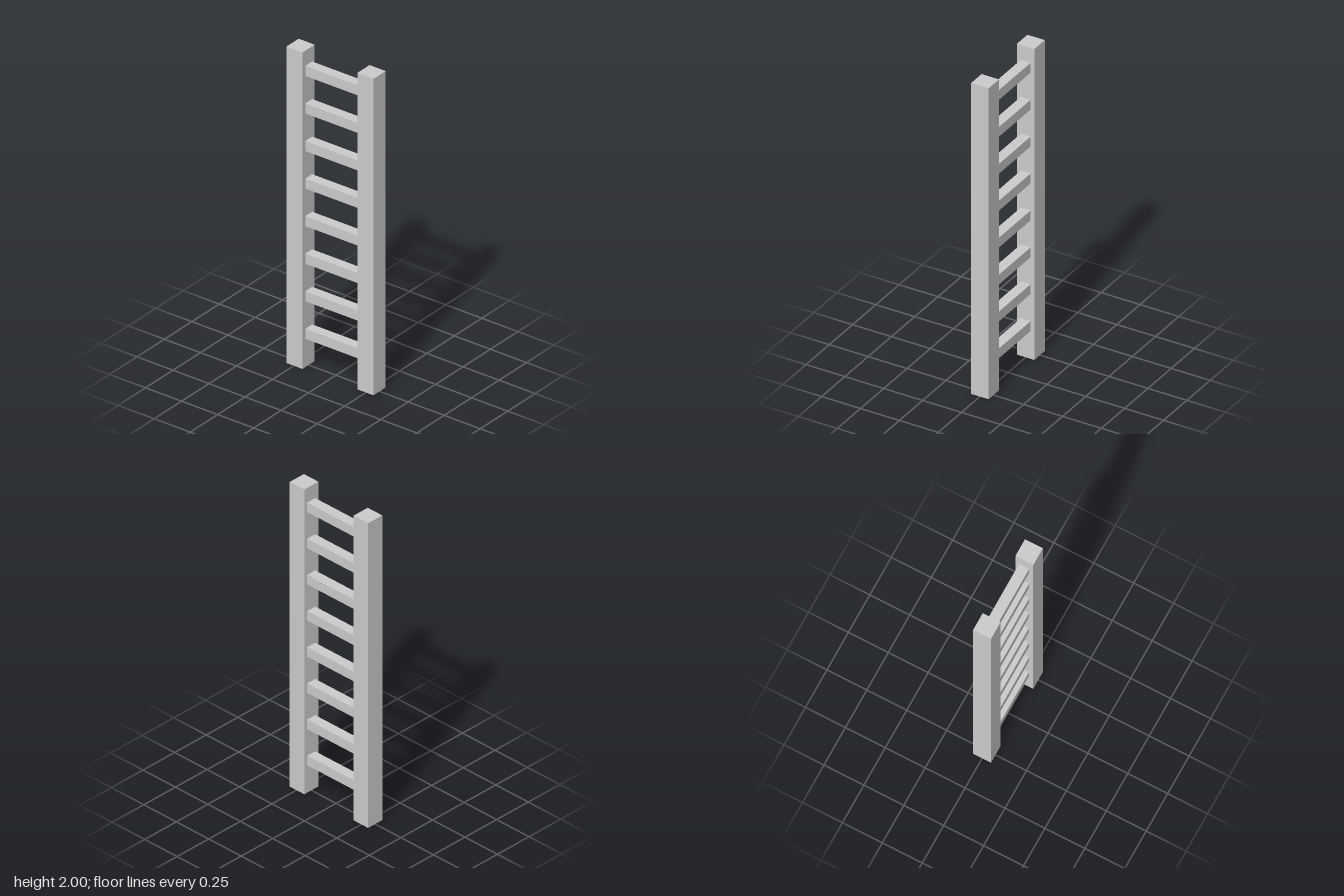
import * as THREE from 'three';

const RAIL = 0.112; // square section of the uprights
const RAIL_X = 0.246; // centre of each upright
const RUNG = 0.063; // square section of the rungs
const RUNG_COUNT = 8;
const FIRST_RUNG_Y = 0.211;
const RUNG_PITCH = 0.2374;

export function createModel() {
  const ladder = new THREE.Group();
  ladder.name = 'ladder';
  const material = new THREE.MeshStandardMaterial({ color: 0xcccccc, flatShading: true });

  const addBeam = (name, geometry, x, y, z = 0) => {
    const mesh = new THREE.Mesh(geometry, material);
    mesh.name = name;
    mesh.position.set(x, y, z);
    ladder.add(mesh);
  };

  // Two square uprights
  const railGeometry = new THREE.BoxGeometry(RAIL, 2, RAIL);
  addBeam('leftRail', railGeometry, RAIL_X, 1);
  addBeam('rightRail', railGeometry, -RAIL_X, 1);

  // Evenly spaced rungs between the inner faces of the uprights
  const rungGeometry = new THREE.BoxGeometry(2 * RAIL_X - RAIL, RUNG, RUNG);
  for (let i = 0; i < RUNG_COUNT; i++) {
    addBeam(`rung${i + 1}`, rungGeometry, 0, FIRST_RUNG_Y + i * RUNG_PITCH, -0.001);
  }

  return ladder;
}
